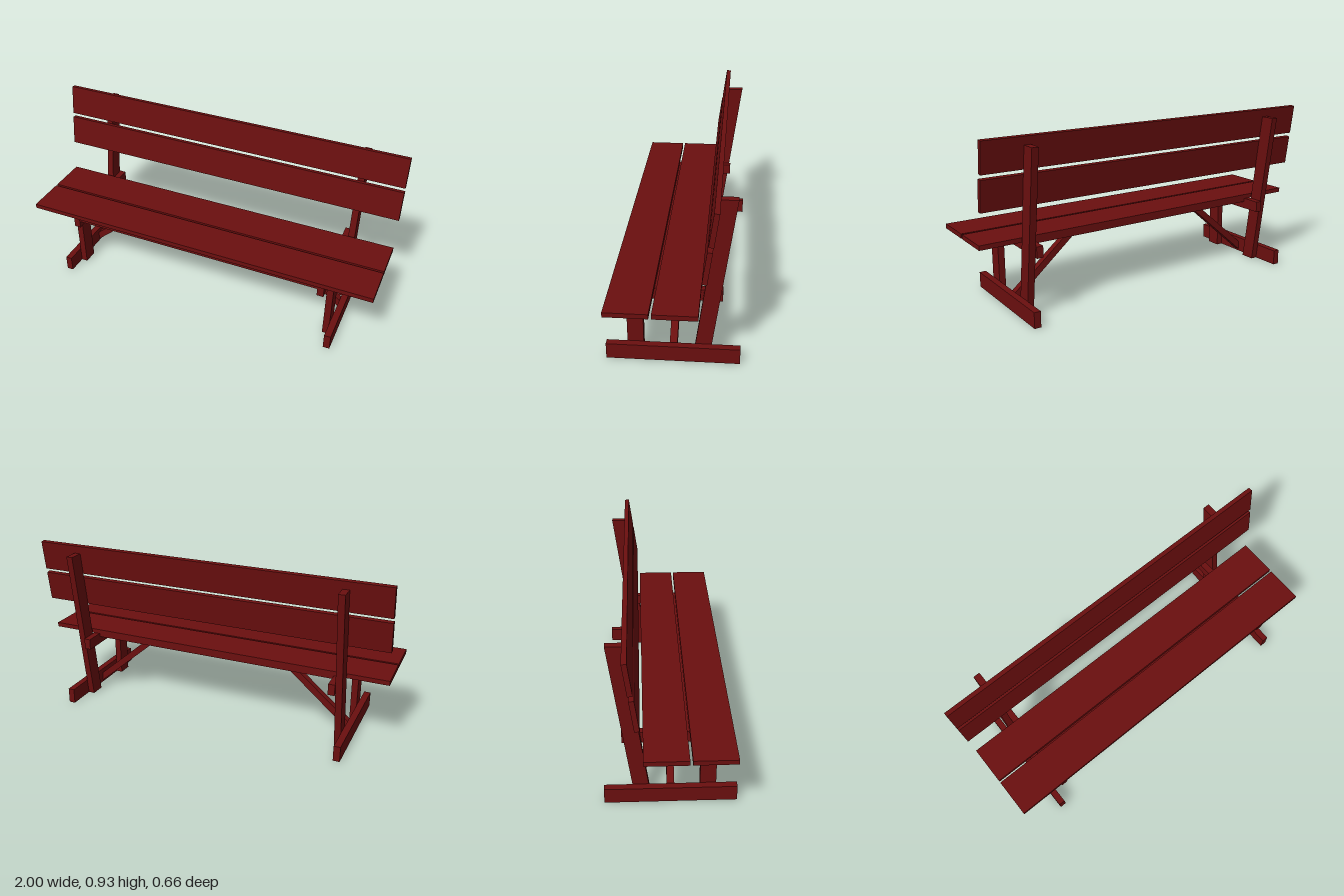
import * as THREE from 'three';

export function createModel() {
  const bench = new THREE.Group();
  bench.name = 'bench';
  const paint = new THREE.MeshStandardMaterial({ color: 0x6b0f0f });

  // Box given by its min and max corners
  function board(name, [x0, x1], [y0, y1], [z0, z1], parent = bench) {
    const mesh = new THREE.Mesh(new THREE.BoxGeometry(x1 - x0, y1 - y0, z1 - z0), paint);
    mesh.position.set((x0 + x1) / 2, (y0 + y1) / 2, (z0 + z1) / 2);
    mesh.name = name;
    parent.add(mesh);
    return mesh;
  }

  // Straight-sided outline extruded by a depth
  function cutTimber(points, depth) {
    const shape = new THREE.Shape(points.map(([x, y]) => new THREE.Vector2(x, y)));
    return new THREE.ExtrudeGeometry(shape, { depth, bevelEnabled: false });
  }

  // Seat planks and the thin panel that joins them underneath
  board('frontSeatPlank', [-1, 1], [0.379, 0.404], [0.092, 0.305]);
  board('rearSeatPlank', [-1, 1], [0.379, 0.404], [-0.135, 0.079]);
  board('underSeatPanel', [-0.715, 0.715], [0.358, 0.379], [-0.13, 0.295]);

  // Leaning backrest planks
  const lean = Math.atan(0.1375);
  [['lowerBackPlank', 0.658, -0.171], ['upperBackPlank', 0.847, -0.198]].forEach(([name, y, z]) => {
    const plank = board(name, [-1, 1], [y - 0.083, y + 0.083], [z - 0.0125, z + 0.0125]);
    plank.rotation.x = -lean;
  });

  // End frames, mirrored left and right
  for (const side of [1, -1]) {
    const frame = new THREE.Group();
    frame.name = side > 0 ? 'leftFrame' : 'rightFrame';
    bench.add(frame);
    const span = (a, b) => (side > 0 ? [a, b] : [-b, -a]);

    board('foot', span(0.782, 0.818), [0, 0.085], [-0.332, 0.332], frame);
    board('frontLeg', span(0.746, 0.782), [0, 0.379], [0.147, 0.228], frame);
    board('seatBearer', span(0.71, 0.746), [0.318, 0.379], [-0.239, 0.298], frame);

    // Slanted rear post with level ends; outline drawn as (-z, y)
    const post = new THREE.Mesh(
      cutTimber([[0.098, 0], [0.179, 0], [0.3, 0.885], [0.219, 0.885]], 0.036), paint);
    post.rotation.y = Math.PI / 2;
    post.position.x = side > 0 ? 0.746 : -0.782;
    post.name = 'rearPost';
    frame.add(post);

    // Diagonal brace from the foot up to the seat
    const outline = [[0.782, 0.01], [0.782, 0.06], [0.425, 0.362], [0.37, 0.362]];
    const brace = new THREE.Mesh(cutTimber(outline.map(([x, y]) => [x * side, y]), 0.038), paint);
    brace.position.z = -0.019;
    brace.name = 'brace';
    frame.add(brace);
  }
  return bench;
}
